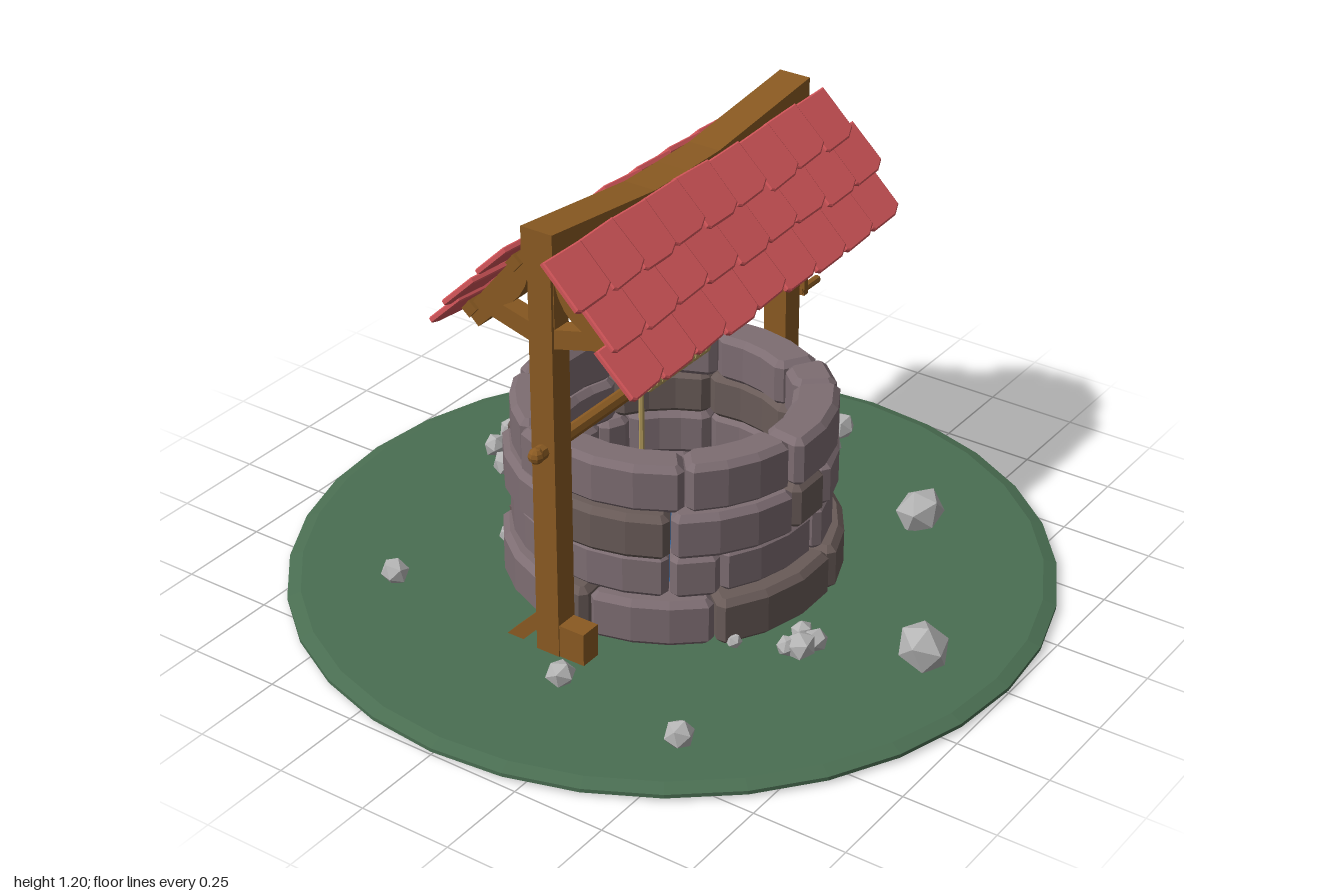
import * as THREE from 'three';

const mat = (color) => new THREE.MeshStandardMaterial({ color, flatShading: true });
const GRASS = mat(0x4a6e52), STONE_A = mat(0x7d6d72), STONE_B = mat(0x695b58), WOOD = mat(0x8a5a22);
const TILE = mat(0xd4565a), ROPE = mat(0xb39b5c), PEBBLE = mat(0xb4b4b4), WATER = mat(0x2f5f96);

// Small seeded random, centred on zero
let seed = 7;
const rand = (a = 1) => {
  seed = (seed * 16807) % 2147483647;
  return (seed / 2147483647 - 0.5) * 2 * a;
};

function add(parent, name, geometry, material, x = 0, y = 0, z = 0) {
  const mesh = new THREE.Mesh(geometry, material);
  mesh.name = name;
  mesh.position.set(x, y, z);
  parent.add(mesh);
  return mesh;
}

function named(parent, name) {
  const g = new THREE.Group();
  g.name = name;
  parent.add(g);
  return g;
}

const polygon = (pts) => new THREE.Shape(pts.map(([x, y]) => new THREE.Vector2(x, y)));
const rod = (r, length, sides = 8) => new THREE.CylinderGeometry(r, r, length, sides).rotateX(Math.PI / 2);

// Curved stone with chamfered edges, spanning angles a0 to a1
function stoneGeometry(a0, a1, rIn, rOut, height) {
  const pts = [], n = Math.max(1, Math.round((a1 - a0) / 0.27)), c = 0.018;
  const at = (r, a) => pts.push([r * Math.cos(a), r * Math.sin(a)]);
  at(rOut - c, a0);
  for (let i = 0; i <= n; i++) at(rOut, a0 + c / rOut + (a1 - a0 - 2 * c / rOut) * i / n);
  at(rOut - c, a1);
  at(rIn + c, a1);
  for (let i = n; i >= 0; i--) at(rIn, a0 + c / rIn + (a1 - a0 - 2 * c / rIn) * i / n);
  at(rIn + c, a0);
  const b = 0.016;
  return new THREE.ExtrudeGeometry(polygon(pts), {
    depth: height - 2 * b, bevelEnabled: true, bevelSize: b, bevelOffset: -b, bevelThickness: b, bevelSegments: 1,
  }).translate(0, 0, b).rotateX(-Math.PI / 2);
}

function buildWell(parent) {
  const well = named(parent, 'stoneWell');
  const lengths = [1, 0.85, 0.35, 1.1, 0.9, 1, 0.4, 0.95, 1.1];
  const total = lengths.reduce((s, v) => s + v, 0);
  const courses = [[0.03, 0.13, 0.435], [0.16, 0.125, 0.41], [0.284, 0.124, 0.425], [0.405, 0.132, 0.415]];
  courses.forEach(([y, h, r], k) => {
    let a = k * 0.83 + 0.2;
    lengths.forEach((length, i) => {
      const span = length / total * Math.PI * 2;
      const geo = stoneGeometry(a + 0.004, a + span - 0.004, 0.3 + rand(0.008), r + rand(0.012), h + rand(0.004));
      add(well, 'wallStone', geo, (i + k) % 2 ? STONE_A : (k % 2 ? STONE_A : STONE_B), 0, y, 0);
      a += span;
    });
  });
  add(well, 'water', new THREE.CylinderGeometry(0.33, 0.33, 0.06, 24), WATER, 0, 0.07, 0);
}

// Post with its foot brace, foot block and roof bracket; built for the front
function buildPost(parent) {
  const frame = named(parent, 'postFrame');
  add(frame, 'post', new THREE.BoxGeometry(0.068, 1.1, 0.066), WOOD, 0, 0.575, 0.505);
  const strut = polygon([[-0.135, 0.03], [-0.085, 0.03], [-0.02, 0.1], [-0.02, 0.15]]);
  add(frame, 'footBrace', new THREE.ExtrudeGeometry(strut, { depth: 0.045, bevelEnabled: false }), WOOD, 0, 0, 0.482);
  add(frame, 'footBlock', new THREE.BoxGeometry(0.075, 0.092, 0.06), WOOD, 0.07, 0.074, 0.505);
  const bracket = polygon([[0.02, 0.89], [0.15, 0.925], [0.19, 0.885], [0.228, 0.92], [0.045, 1.14], [0.02, 1.14]]);
  const gap = new THREE.Path();
  gap.moveTo(0.036, 0.945);
  gap.lineTo(0.115, 0.965);
  gap.quadraticCurveTo(0.055, 0.99, 0.036, 1.07);
  bracket.holes.push(gap);
  const geo = new THREE.ExtrudeGeometry(bracket, { depth: 0.05, bevelEnabled: false, curveSegments: 4 });
  for (const turn of [0, Math.PI]) {
    const mesh = add(frame, 'roofBracket', geo.clone().translate(0, 0, -0.025), WOOD, 0, 0, 0.505);
    mesh.rotation.y = turn;
  }
}

// One roof slope, laid out as (z, down the slope, outward)
function buildSlope(parent) {
  const slope = named(parent, 'roofSlope');
  const down = new THREE.Vector3(0.645, -0.764, 0).normalize();
  const along = new THREE.Vector3(0, 0, 1);
  const out = new THREE.Vector3().crossVectors(along, down);
  slope.quaternion.setFromRotationMatrix(new THREE.Matrix4().makeBasis(along, down, out));
  slope.position.set(0.045, 1.145, 0);
  const w = 0.131, count = 9;
  [0.0, -0.03, 0.005].forEach((shift, row) => {
    for (let i = 0; i < count; i++) {
      const l = 0.145 + rand(0.006), h = w / 2 + 0.003;
      const shape = polygon([[-h, 0], [h, 0], [h, l - 0.008], [h - 0.012, l], [-h + 0.035, l - 0.003], [-h, l - 0.022]]);
      const geo = new THREE.ExtrudeGeometry(shape, {
        depth: 0.01, bevelEnabled: true, bevelSize: 0.004, bevelOffset: -0.004, bevelThickness: 0.003, bevelSegments: 1,
      });
      const tile = add(slope, 'roofTile', geo, TILE, (i - 4) * w + shift, row * 0.116 + rand(0.003), 0.004);
      tile.rotation.set(0.1, 0.05 + rand(0.02), rand(0.035));
    }
  });
  for (const v of [0.06, 0.27]) add(slope, 'purlin', new THREE.BoxGeometry(1.08, 0.035, 0.03), WOOD, 0, v, -0.013);
}

function buildRidge(parent) {
  const geo = new THREE.BoxGeometry(0.09, 0.085, 1.09, 1, 1, 8);
  const p = geo.attributes.position;
  // Sagging ridge: both ends kick upwards
  for (let i = 0; i < p.count; i++) {
    const t = Math.max(0, Math.abs(p.getZ(i)) - 0.13) / 0.415;
    p.setY(i, p.getY(i) + 0.048 * t);
  }
  add(parent, 'ridgeBeam', geo, WOOD, 0, 1.108, 0);
}

function buildWindlass(parent) {
  const windlass = named(parent, 'windlass');
  windlass.position.y = 0.61;
  add(windlass, 'axle', rod(0.015, 1.17), WOOD, 0, 0, -0.025);
  add(windlass, 'axleSleeve', rod(0.019, 0.43), WOOD, 0, 0, 0.345);
  add(windlass, 'axleEnd', new THREE.SphereGeometry(0.021, 8, 6), WOOD, 0, 0, 0.565);
  for (let i = 0; i < 11; i++) {
    const coil = add(windlass, 'ropeCoil', new THREE.TorusGeometry(0.023, 0.011, 6, 12), ROPE, 0, 0, 0.12 - i * 0.024);
    coil.rotation.y = 0.12;
  }
  add(windlass, 'hangingRope', new THREE.CylinderGeometry(0.007, 0.007, 0.52, 6), ROPE, -0.025, -0.26, 0.1);
  add(windlass, 'crankArm', new THREE.BoxGeometry(0.024, 0.1, 0.018), WOOD, 0, -0.02, -0.605);
  add(windlass, 'crankHandle', rod(0.011, 0.09), WOOD, 0, -0.057, -0.635);
}

function buildPebbles(parent) {
  const pebbles = named(parent, 'pebbles');
  const spots = [
    [0.03, -0.78, 0.04], [0.05, -0.69, 0.035], [0.45, -0.5, 0.066], [-0.34, -0.31, 0.043], [-0.71, -0.24, 0.04],
    [-0.7, -0.15, 0.036], [-0.62, -0.09, 0.036], [0.78, 0.04, 0.066], [0.48, 0.125, 0.03], [0.53, 0.14, 0.032],
    [0.485, 0.2, 0.03], [0.515, 0.185, 0.038], [0.36, 0.25, 0.022], [-0.4, 0.18, 0.024], [-0.52, 0.5, 0.039],
    [0.1, 0.62, 0.038], [0.48, 0.66, 0.041],
  ];
  for (const [x, z, r] of spots) {
    const rock = add(pebbles, 'pebble', new THREE.IcosahedronGeometry(r, 0), PEBBLE, x, 0.03 + r * 0.65, z);
    rock.rotation.set(rand(3), rand(3), rand(3));
    rock.scale.set(1 + rand(0.1), 0.95, 1 + rand(0.1));
  }
}

export function createModel() {
  const model = new THREE.Group();
  model.name = 'waterWell';

  // Grass disc with a bevelled rim
  const rim = [[0, 0], [0.985, 0], [1, 0.008], [1, 0.018], [0.965, 0.03], [0, 0.03]];
  add(model, 'grassDisc', new THREE.LatheGeometry(rim.map(([x, y]) => new THREE.Vector2(x, y)), 32), GRASS);

  buildWell(model);
  buildRidge(model);
  buildWindlass(model);
  buildPebbles(model);

  // Posts and roof slopes repeat with a half turn
  for (const turn of [0, Math.PI]) {
    const half = named(model, 'shelterHalf');
    half.rotation.y = turn;
    buildPost(half);
    buildSlope(half);
  }
  return model;
}
